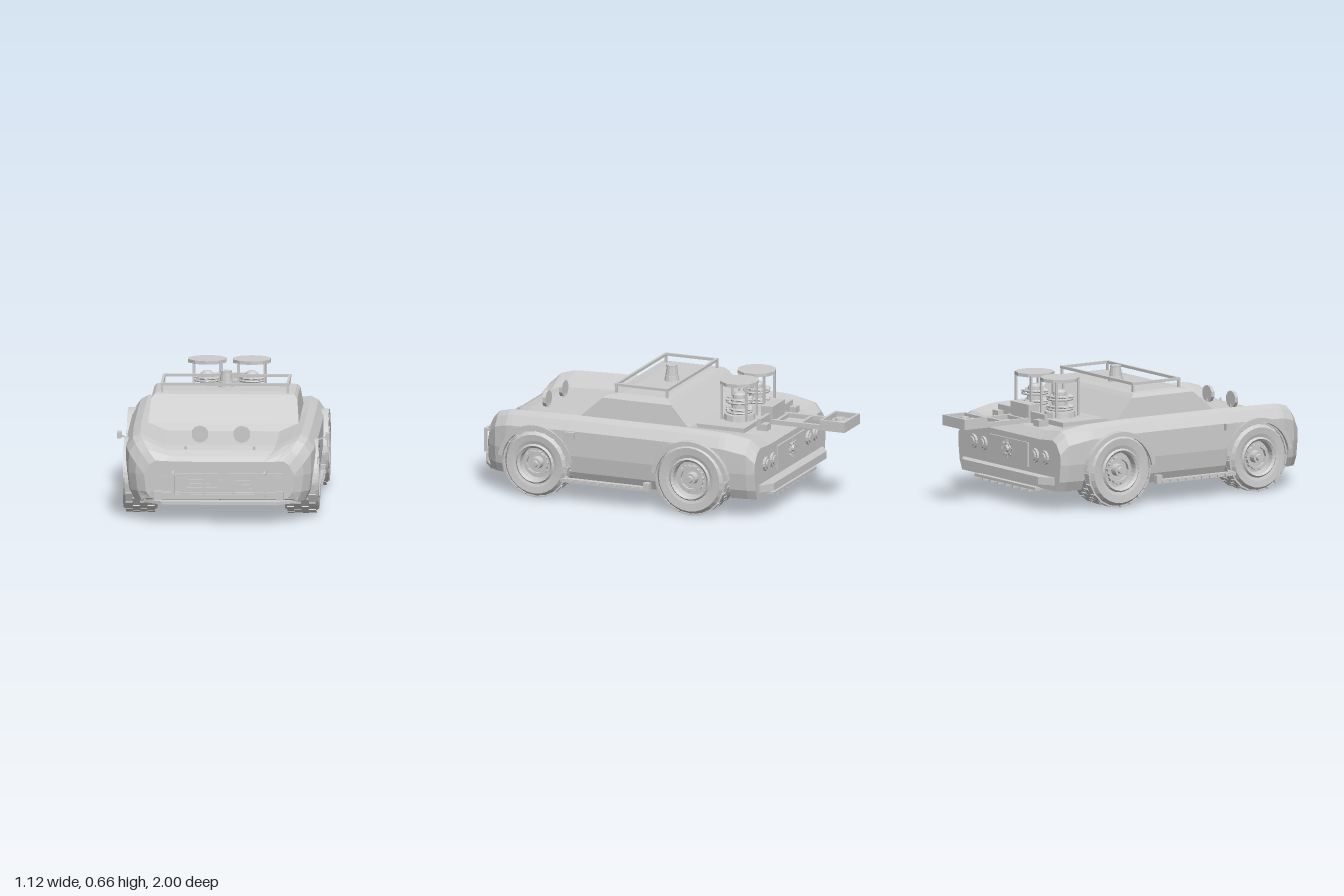
import * as THREE from 'three';

const mat = new THREE.MeshStandardMaterial({ color: 0xcccccc, flatShading: true });
const matTwo = new THREE.MeshStandardMaterial({ color: 0xcccccc, flatShading: true, side: THREE.DoubleSide });

function add(parent, name, geo, x = 0, y = 0, z = 0, m = mat) {
  const mesh = new THREE.Mesh(geo, m);
  mesh.name = name;
  mesh.position.set(x, y, z);
  parent.add(mesh);
  return mesh;
}
const box = (p, name, w, h, d, x, y, z) => add(p, name, new THREE.BoxGeometry(w, h, d), x, y, z);
const cyl = (p, name, r1, r2, h, n, x, y, z) => add(p, name, new THREE.CylinderGeometry(r1, r2, h, n), x, y, z);
const discZ = (p, name, r, h, n, x, y, z) => add(p, name, new THREE.CylinderGeometry(r, r, h, n).rotateX(Math.PI / 2), x, y, z);
function group(parent, name, x = 0, y = 0, z = 0) {
  const g = new THREE.Group();
  g.name = name;
  g.position.set(x, y, z);
  parent.add(g);
  return g;
}

// Closed rings joined into a capped skin; rings run clockwise seen from the first end
function loft(rings) {
  const n = rings[0].length, pos = rings.flat(2), idx = [];
  for (let i = 0; i < rings.length - 1; i++)
    for (let j = 0; j < n; j++) {
      const a = i * n + j, b = i * n + (j + 1) % n;
      idx.push(a, b, b + n, a, b + n, a + n);
    }
  [0, rings.length - 1].forEach((r, end) => {
    const c = pos.length / 3;
    for (let k = 0; k < 3; k++) pos.push(rings[r].reduce((s, p) => s + p[k], 0) / n);
    for (let j = 0; j < n; j++) {
      const a = r * n + j, b = r * n + (j + 1) % n;
      idx.push(c, ...(end ? [a, b] : [b, a]));
    }
  });
  const g = new THREE.BufferGeometry();
  g.setAttribute('position', new THREE.Float32BufferAttribute(pos, 3));
  g.setIndex(idx);
  g.computeVertexNormals();
  return g;
}

// Horizontal plate mirrored in x, outlined by [x, z] corners of its left half
function plate(half, y, h) {
  const pts = [...half, ...half.map(([x, z]) => [-x, z]).reverse()];
  const s = new THREE.Shape(pts.map(([x, z]) => new THREE.Vector2(x, -z)));
  return new THREE.ExtrudeGeometry(s, { depth: h, bevelEnabled: false }).rotateX(-Math.PI / 2).translate(0, y, 0);
}

const AXLES = [{ z: 0.595, r: 0.183, arch: 0.2, out: 0.513, rim: 0.105, name: 'front' },
  { z: -0.295, r: 0.198, arch: 0.21, out: 0.53, rim: 0.113, name: 'rear' }];
const ARCH_Y = 0.182, SILL = 0.108;

// z, half width, fender height, centre height
const KEYS = [[0.91, 0.385, 0.325, 0.32], [0.885, 0.43, 0.375, 0.345], [0.835, 0.468, 0.425, 0.37], [0.76, 0.485, 0.445, 0.385],
  [0.4, 0.492, 0.453, 0.4], [-0.2, 0.492, 0.453, 0.42], [-0.46, 0.49, 0.447, 0.42], [-0.6, 0.478, 0.422, 0.41], [-0.645, 0.462, 0.375, 0.365]];
function keyAt(z) {
  let i = 0;
  while (i < KEYS.length - 2 && z < KEYS[i + 1][0]) i++;
  const t = (KEYS[i][0] - z) / (KEYS[i][0] - KEYS[i + 1][0]);
  return KEYS[i].map((v, k) => v + (KEYS[i + 1][k] - v) * t);
}
function section(z, b) {
  const [, w, top, mid] = keyAt(z);
  const half = [[0.6 * w, mid], [0.77 * w, mid + (top - mid) * 0.65], [0.87 * w, top], [0.95 * w, top - 0.02],
    [1.02 * w, top - 0.07], [1.025 * w, Math.max(0.25, b)], [w, Math.max(0.16, b)], [0.95 * w, b]];
  return [...half.map(([x, y]) => [x, y, z]), ...half.map(([x, y]) => [-x, y, z]).reverse()];
}

// Body skin with wheel tunnels cut upward through the floor
function buildBody(car) {
  const st = KEYS.map(k => [k[0], k[0] > 0.9 ? 0.135 : SILL])
    .filter(([z]) => AXLES.every(a => Math.abs(z - a.z) > a.arch + 0.001));
  for (const a of AXLES) {
    st.push([a.z + a.arch + 0.0002, SILL], [a.z - a.arch - 0.0002, SILL]);
    for (let i = 0; i <= 12; i++) {
      const t = Math.PI * i / 12;
      st.push([a.z + a.arch * Math.cos(t), ARCH_Y + a.arch * Math.sin(t)]);
    }
  }
  st.sort((p, q) => q[0] - p[0]);
  add(car, 'body', loft(st.map(([z, b]) => section(z, b))));

  const ring = (y, x, zf, zr) => [[-x, y, zr], [x, y, zr], [x, y, zf], [-x, y, zf]];
  add(car, 'cabin', loft([ring(0.575, 0.34, 0.17, -0.07), ring(0.568, 0.367, 0.235, -0.11),
    ring(0.55, 0.383, 0.26, -0.13), ring(0.44, 0.396, 0.385, -0.235), ring(0.38, 0.4, 0.41, -0.27)]));

  for (const a of AXLES) for (const s of [-1, 1]) {
    // Arch lip and inner liner
    const lip = new THREE.Shape();
    lip.absarc(0, 0, a.arch + 0.012, 0.15, Math.PI - 0.15, false);
    lip.absarc(0, 0, a.arch - 0.012, Math.PI - 0.15, 0.15, true);
    const g = new THREE.ExtrudeGeometry(lip, { depth: 0.045, bevelEnabled: false, curveSegments: 10 });
    g.translate(0, 0, -0.0225).rotateY(Math.PI / 2);
    add(car, a.name + 'ArchLip', g, s * (a.out - 0.025), ARCH_Y, a.z);
    add(car, a.name + 'WheelLiner', new THREE.CircleGeometry(a.arch, 16, 0, Math.PI).rotateY(Math.PI / 2), s * 0.325, ARCH_Y, a.z, matTwo);
  }
}

function buildWheel(car, a, s) {
  const inner = 0.335, w = a.out - inner, r = a.r, h = w / 2;
  const g = group(car, a.name + 'Wheel', s * (inner + h), r + 0.002, a.z);
  if (s < 0) g.rotation.y = Math.PI;
  const lathe = (name, pts, n) => add(g, name, new THREE.LatheGeometry(pts.map(p => new THREE.Vector2(...p)), n)
    .rotateZ(-Math.PI / 2), 0, 0, 0, matTwo);
  lathe('tyre', [[a.rim - 0.01, -h], [r * 0.87, -h], [r * 0.965, -h + 0.025], [r * 0.965, h - 0.025], [r * 0.87, h], [a.rim + 0.02, h - 0.004], [a.rim, h - 0.01]], 28);
  lathe('rim', [[0, h - 0.05], [a.rim - 0.02, h - 0.05], [a.rim - 0.018, h - 0.008], [a.rim - 0.006, h + 0.001], [a.rim + 0.004, h - 0.01]], 28);
  lathe('hub', [[0.033, h - 0.05], [0.03, h - 0.012], [0.018, h - 0.012], [0.014, h - 0.002], [0, h - 0.002]], 16);
  add(g, 'innerDisc', new THREE.CylinderGeometry(a.rim, a.rim, 0.02, 24).rotateZ(Math.PI / 2), -h + 0.03);
  for (let i = 0; i < 10; i++) {
    const t = i * Math.PI / 5, m = (a.rim + 0.01) / 2;
    const spoke = box(g, 'spoke', 0.018, a.rim - 0.045, 0.014, h - 0.026, m * Math.cos(t), m * Math.sin(t));
    spoke.rotation.x = t - Math.PI / 2;
  }
  // Staggered tread blocks
  for (let row = 0; row < 4; row++) for (let i = 0; i < 20; i++) {
    const t = (i + (row % 2) / 2) * Math.PI / 10, d = r * 0.972;
    const b = box(g, 'treadBlock', w * 0.2, r * 0.05, r * 0.275, (row - 1.5) * w * 0.215, d * Math.cos(t), d * Math.sin(t));
    b.rotation.x = t;
  }
}

function buildFront(car) {
  add(car, 'frontSplitter', plate([[0.41, 0.83], [0.41, 0.88], [0.3, 0.96]], 0.1, 0.016));
  add(car, 'frontBumper', plate([[0.41, 0.85], [0.41, 0.89], [0.31, 0.93]], 0.125, 0.035));
  for (const s of [-1, 1]) box(car, 'bumperEnd', 0.04, 0.045, 0.05, s * 0.32, 0.145, 0.92);
  box(car, 'grillePanel', 0.69, 0.095, 0.012, 0, 0.212, 0.912);
  for (let i = 0; i < 4; i++) box(car, 'grilleSlat', 0.34, 0.008, 0.012, 0, 0.18 + i * 0.021, 0.921);
  discZ(car, 'grilleBoss', 0.02, 0.02, 6, 0, 0.212, 0.925);
  // Bull bar
  const bar = group(car, 'bullBar');
  for (const y of [0.152, 0.265]) box(bar, 'crossBar', 0.494, 0.014, 0.014, 0, y, 0.99);
  for (const x of [-0.24, -0.078, 0.078, 0.24]) box(bar, 'uprightBar', 0.014, 0.113, 0.014, x, 0.208, 0.99);
  for (const s of [-1, 1]) {
    for (const y of [0.152, 0.265]) box(bar, 'stay', 0.014, 0.014, 0.09, s * 0.24, y, 0.945);
    for (const x of [0.2, 0.3]) {
      discZ(car, 'headlight', 0.04, 0.02, 12, s * x, 0.212, 0.918);
      discZ(car, 'headlightLens', 0.03, 0.01, 12, s * x, 0.212, 0.928);
    }
    discZ(car, 'bonnetLamp', 0.045, 0.018, 10, s * 0.11, 0.432, 0.695);
    cyl(car, 'bonnetLampPost', 0.009, 0.009, 0.04, 6, s * 0.11, 0.385, 0.69);
    cyl(car, 'bonnetPin', 0.007, 0.007, 0.02, 6, s * 0.18, 0.378, 0.82);
  }
}

function buildSides(car) {
  for (const s of [-1, 1]) {
    // Door mirrors
    const arm = box(car, 'mirrorArm', 0.06, 0.008, 0.01, s * 0.518, 0.362, 0.38);
    arm.rotation.z = s * 0.35;
    box(car, 'mirror', 0.022, 0.034, 0.055, s * 0.547, 0.373, 0.38);
    // Sill skirts
    box(car, 'sillSkirt', 0.03, 0.02, 0.5, s * 0.497, 0.114, 0.195);
    box(car, 'sillEnd', 0.03, 0.04, 0.035, s * 0.505, 0.13, -0.045);
    for (let i = 0; i < 9; i++) box(car, 'sillStud', 0.014, 0.014, 0.014, s * 0.515, 0.114, -0.02 + i * 0.05);
  }
}

function buildRoof(car) {
  const rack = group(car, 'roofRack', 0, 0.615, 0.06);
  for (const s of [-1, 1]) {
    box(rack, 'sideRail', 0.014, 0.014, 0.304, s * 0.33, 0, 0);
    box(rack, 'endRail', 0.674, 0.014, 0.014, 0, 0, s * 0.145);
    for (const e of [-1, 1]) box(rack, 'rackPost', 0.012, 0.07, 0.012, s * 0.33, -0.03, e * 0.145);
  }
  cyl(car, 'beaconBase', 0.035, 0.042, 0.035, 12, 0, 0.585, 0.03);
  cyl(car, 'beacon', 0.026, 0.034, 0.055, 12, 0, 0.632, 0.03);
  cyl(car, 'beaconCap', 0.03, 0.03, 0.008, 12, 0, 0.655, 0.03);
}

// Star-shaped rotor lying flat around y
function rotor(parent, name, r, blades, x, y, z) {
  const g = group(parent, name, x, y, z);
  add(g, 'rotorRing', new THREE.TorusGeometry(r * 0.6, r * 0.1, 6, 14).rotateX(Math.PI / 2));
  cyl(g, 'rotorHub', r * 0.35, r * 0.45, r * 0.5, 10, 0, 0, 0);
  for (let i = 0; i < blades; i++) {
    const t = i * 2 * Math.PI / blades;
    const b = box(g, 'blade', r * 0.55, r * 0.07, r * 0.28, Math.cos(t) * r * 0.7, 0, -Math.sin(t) * r * 0.7);
    b.rotation.set(0.35, t, 0, 'YXZ');
  }
  return g;
}

function buildRear(car) {
  box(car, 'engineDeck', 0.6, 0.025, 0.27, 0, 0.43, -0.375);
  // Twin turbine towers
  for (const s of [-1, 1]) {
    const t = group(car, 'turbine', s * 0.117, 0, -0.405);
    cyl(t, 'turbineBase', 0.08, 0.085, 0.03, 12, 0, 0.458, 0);
    cyl(t, 'turbineCore', 0.035, 0.045, 0.11, 12, 0, 0.52, 0);
    cyl(t, 'turbineCap', 0.022, 0.036, 0.014, 12, 0, 0.579, 0);
    for (const y of [0.497, 0.55]) {
      rotor(t, 'turbineFan', 0.075, 8, 0, y, 0);
      add(t, 'turbineBand', new THREE.TorusGeometry(0.066, 0.006, 6, 16).rotateX(Math.PI / 2), 0, y - 0.012, 0);
    }
    for (const px of [-0.07, 0.07]) for (const pz of [-0.07, 0.07]) box(t, 'turbinePost', 0.011, 0.19, 0.011, px, 0.545, pz);
    cyl(t, 'turbineLid', 0.104, 0.104, 0.018, 10, 0, 0.643, 0);
    box(car, 'armBracket', 0.13, 0.06, 0.02, s * 0.15, 0.45, -0.56);
    box(car, 'armFoot', 0.05, 0.035, 0.06, s * 0.19, 0.435, -0.575);
    box(car, 'armRail', 0.02, 0.024, 0.3, s * 0.08, 0.434, -0.71);
  }
  box(car, 'gearBox', 0.17, 0.09, 0.065, 0, 0.47, -0.548);
  for (const z of [-0.6, -0.735]) box(car, 'armCrossBar', 0.15, 0.02, 0.016, 0, 0.434, z);
  // Open tray with rotor on the arm's end
  const tray = group(car, 'armTray', 0, 0.45, -0.928);
  box(tray, 'trayFloor', 0.205, 0.02, 0.144, 0, -0.017, 0);
  for (const s of [-1, 1]) {
    box(tray, 'traySide', 0.014, 0.055, 0.144, s * 0.0965, 0, 0);
    box(tray, 'trayEnd', 0.205, 0.055, 0.014, 0, 0, s * 0.065);
  }
  rotor(tray, 'trayRotor', 0.062, 8, 0, 0.008, 0);
  // Tail panel, lamps and bumper
  box(car, 'tailPanel', 0.36, 0.13, 0.012, 0, 0.27, -0.648);
  rotor(car, 'tailRotor', 0.05, 8, 0, 0.28, -0.66).rotation.x = -Math.PI / 2;
  for (const s of [-1, 1]) for (const x of [0.24, 0.33]) {
    discZ(car, 'tailLamp', 0.038, 0.02, 14, s * x, 0.275, -0.648);
    discZ(car, 'tailLampLens', 0.026, 0.012, 14, s * x, 0.275, -0.66);
  }
  add(car, 'rearBumper', plate([[0.35, -0.703], [0.42, -0.655], [0.42, -0.62]], 0.14, 0.04));
  box(car, 'diffuser', 0.56, 0.014, 0.08, 0, 0.104, -0.635);
  for (let i = -3; i <= 3; i++) box(car, 'diffuserFin', 0.008, 0.024, 0.075, i * 0.07, 0.093, -0.635);
}

export function createModel() {
  const car = new THREE.Group();
  car.name = 'car';
  buildBody(car);
  for (const a of AXLES) for (const s of [-1, 1]) buildWheel(car, a, s);
  buildFront(car);
  buildSides(car);
  buildRoof(car);
  buildRear(car);
  return car;
}
